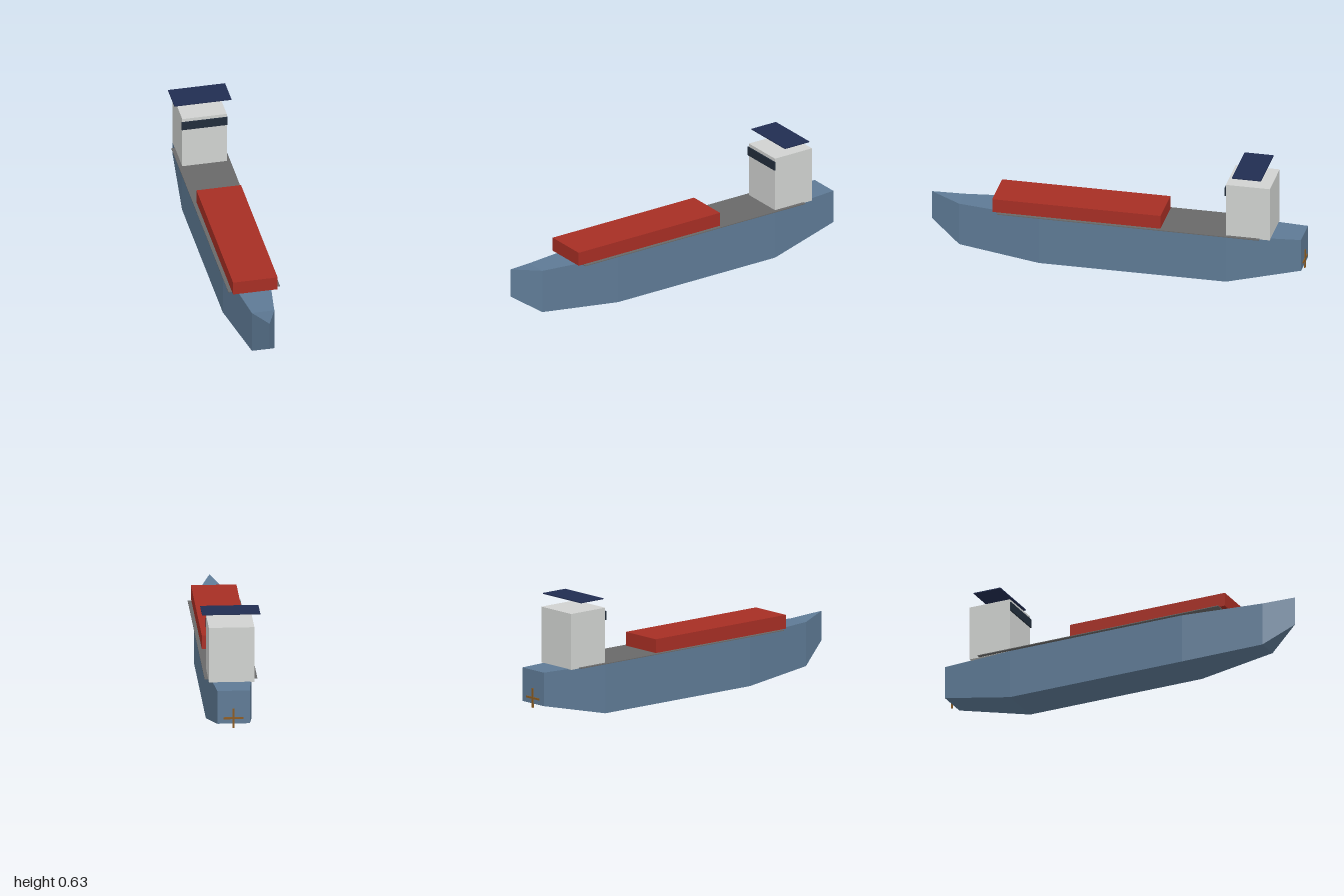
import * as THREE from 'three';

const material = (name, color) => {
  const m = new THREE.MeshStandardMaterial({ color });
  m.name = name;
  return m;
};

// Hull: rectangular cross-sections joined from bow to stern
function hullGeometry() {
  // z, half width, keel height, deck height
  const stations = [
    [1, 0, 0.14, 0.296],
    [0.84, 0.06, 0.033, 0.269],
    [0.4, 0.12, 0, 0.266],
    [-0.6, 0.12, 0, 0.266],
    [-0.995, 0.085, 0.09, 0.269],
  ];
  const positions = [];
  const index = [];
  for (const [z, w, low, high] of stations) {
    positions.push(w, low, z, w, high, z, -w, high, z, -w, low, z);
  }
  for (let i = 0; i < stations.length - 1; i++) {
    for (let j = 0; j < 4; j++) {
      const k = (j + 1) % 4;
      const a = i * 4 + j, b = i * 4 + k;
      index.push(a, a + 4, b, b, a + 4, b + 4);
    }
  }
  // Transom closes the stern
  const s = (stations.length - 1) * 4;
  index.push(s, s + 2, s + 1, s, s + 3, s + 2);

  const geometry = new THREE.BufferGeometry();
  geometry.setAttribute('position', new THREE.Float32BufferAttribute(positions, 3));
  geometry.setIndex(index);
  const flat = geometry.toNonIndexed();
  flat.computeVertexNormals();
  return flat;
}

export function createModel() {
  const ship = new THREE.Group();
  ship.name = 'cargoShip';

  const hullBlue = material('hullBlue', 0x5e7a95);
  const deckGrey = material('deckGrey', 0x696969);
  const cargoRed = material('cargoRed', 0xa62e24);
  const houseWhite = material('houseWhite', 0xd0d2d0);
  const windowDark = material('windowDark', 0x222d3b);
  const roofNavy = material('roofNavy', 0x212d51);
  const bronze = material('bronze', 0x8a5a20);

  // Box given by its width and its y and z ranges, centred on x
  const box = (name, mat, width, y0, y1, z0, z1, parent = ship) => {
    const mesh = new THREE.Mesh(new THREE.BoxGeometry(width, y1 - y0, z1 - z0), mat);
    mesh.position.set(0, (y0 + y1) / 2, (z0 + z1) / 2);
    mesh.name = name;
    parent.add(mesh);
    return mesh;
  };

  const hull = new THREE.Mesh(hullGeometry(), hullBlue);
  hull.name = 'hull';
  ship.add(hull);

  box('deck', deckGrey, 0.276, 0.267, 0.271, -0.78, 0.62);
  box('cargo', cargoRed, 0.238, 0.271, 0.345, -0.25, 0.65);

  // Bridge tower with its window band and raised roof
  box('bridgeHouse', houseWhite, 0.238, 0.266, 0.565, -0.835, -0.6);
  box('bridgeWindow', windowDark, 0.244, 0.5, 0.547, -0.6, -0.593);
  box('bridgeRoof', roofNavy, 0.305, 0.622, 0.627, -0.795, -0.64);

  // Propeller: two crossed blades on the transom
  const propeller = new THREE.Group();
  propeller.name = 'propeller';
  for (let i = 0; i < 2; i++) {
    const blade = box('propellerBlade', bronze, 0.01, 0.068, 0.172, -1, -0.994, propeller);
    blade.rotation.z = i * Math.PI / 2;
  }
  ship.add(propeller);

  return ship;
}
